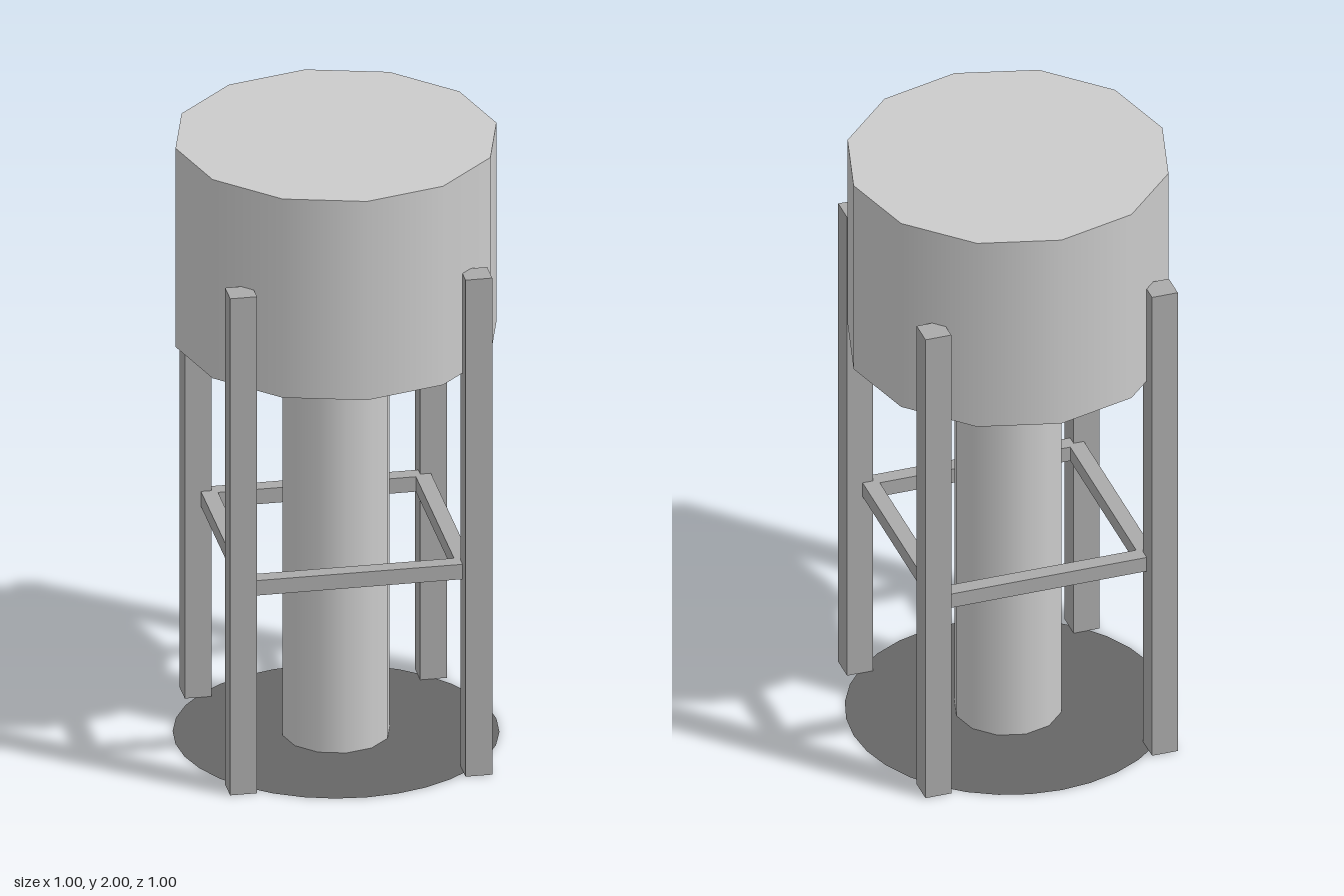
import * as THREE from 'three';

export function createModel() {
  const model = new THREE.Group();
  model.name = 'waterTower';

  const grey = new THREE.MeshStandardMaterial({ color: 0xcccccc });
  const legGrey = new THREE.MeshStandardMaterial({ color: 0xaaaaaa });
  const baseGrey = new THREE.MeshStandardMaterial({ color: 0x666666, side: THREE.DoubleSide });

  const add = (name, geometry, material, x, y, z) => {
    const mesh = new THREE.Mesh(geometry, material);
    mesh.name = name;
    mesh.position.set(x, y, z);
    model.add(mesh);
    return mesh;
  };

  const gap = 0.001; // keeps undersides just clear of the base disc

  // Tank and central column, twelve sided
  add('tank', new THREE.CylinderGeometry(0.5, 0.5, 0.667, 12), grey, 0, 1.6667, 0);
  add('column', new THREE.CylinderGeometry(0.1667, 0.1667, 1.333, 12), grey, 0, 0.6667 + gap, 0);

  // Thin ground disc
  add('base', new THREE.CircleGeometry(0.5, 32), baseGrey, 0, 0, 0).rotation.x = -Math.PI / 2;

  // Four square corner legs
  const legGeometry = new THREE.BoxGeometry(0.0833, 1.6667, 0.0833);
  for (const x of [-0.3667, 0.3667]) {
    for (const z of [-0.3667, 0.3667]) {
      add('leg', legGeometry, legGrey, x, 0.8333 + gap, z);
    }
  }

  // Square frame of braces between the legs
  const braceX = new THREE.BoxGeometry(0.6667, 0.05, 0.05);
  const braceZ = new THREE.BoxGeometry(0.05, 0.05, 0.6667);
  for (const side of [-0.3333, 0.3333]) {
    add('crossBrace', braceX, legGrey, 0, 0.6667, side);
    add('sideBrace', braceZ, legGrey, side, 0.6667, 0);
  }

  return model;
}
